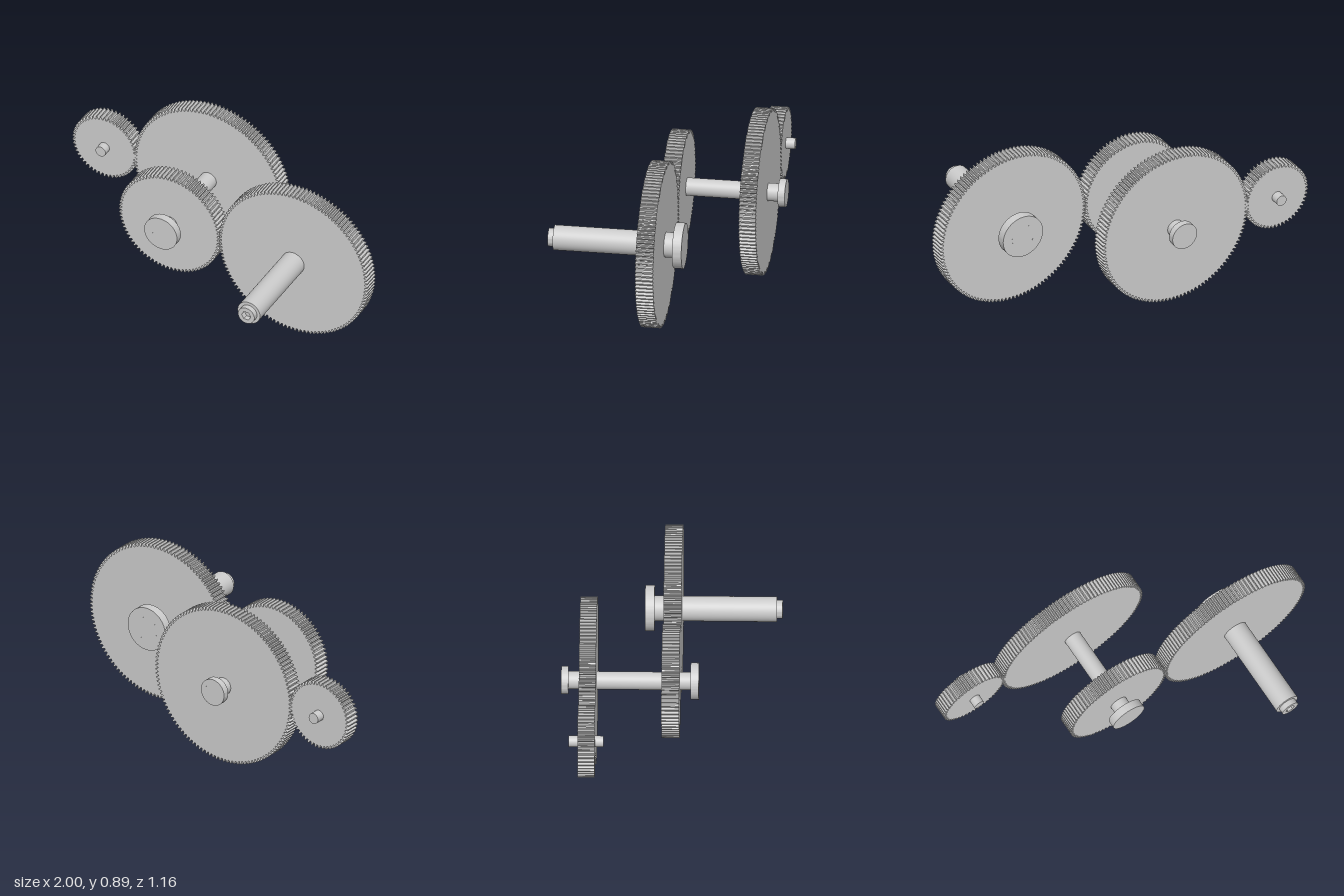
import * as THREE from 'three';
import { toCreasedNormals } from 'three/addons/utils/BufferGeometryUtils.js';

const material = new THREE.MeshStandardMaterial({ color: 0xcccccc });
const AXLE_Y = 0.446;

function addPart(group, name, geometry, z = 0) {
  const mesh = new THREE.Mesh(geometry, material);
  mesh.name = name;
  mesh.position.z = z;
  group.add(mesh);
}

function extrude(shape, depth) {
  return new THREE.ExtrudeGeometry(shape, { depth, bevelEnabled: false, curveSegments: 48 });
}

// Spur gear with trapezoid teeth
function addGear(group, name, radius, teeth, z0, z1, phase = 0) {
  const root = radius - 0.0165;
  const points = [];
  const pitch = (Math.PI * 2) / teeth;
  for (let i = 0; i < teeth; i++) {
    for (const [offset, r] of [[-0.36, root], [-0.13, radius], [0.13, radius], [0.36, root]]) {
      const a = (i + offset + phase) * pitch;
      points.push(new THREE.Vector2(Math.cos(a) * r, Math.sin(a) * r));
    }
  }
  addPart(group, name, extrude(new THREE.Shape(points), z1 - z0), z0);
}

// Round bar along z
function addShaft(group, name, radius, z0, z1) {
  const geometry = new THREE.CylinderGeometry(radius, radius, z1 - z0, 48).rotateX(Math.PI / 2);
  addPart(group, name, geometry, (z0 + z1) / 2);
}

// Collar with a bore; the bore may be round or polygonal
function addRing(group, name, outer, inner, z0, z1, sides = 0) {
  const shape = new THREE.Shape().absarc(0, 0, outer, 0, Math.PI * 2);
  const hole = new THREE.Path();
  if (sides) {
    const corners = Array.from({ length: sides }, (_, i) => {
      const a = (i / sides) * Math.PI * 2;
      return new THREE.Vector2(Math.cos(a) * inner, Math.sin(a) * inner);
    });
    hole.setFromPoints([...corners, corners[0]]);
  } else {
    hole.absarc(0, 0, inner, 0, Math.PI * 2, true);
  }
  shape.holes.push(hole);
  addPart(group, name, toCreasedNormals(extrude(shape, z1 - z0), 0.5), z0);
}

function axle(model, name, x) {
  const group = new THREE.Group();
  group.name = name;
  group.position.set(x, AXLE_Y, 0);
  model.add(group);
  return group;
}

export function createModel() {
  const model = new THREE.Group();
  model.name = 'gearTrain';

  // Small driving pinion
  const input = axle(model, 'inputAxle', -0.807);
  addGear(input, 'pinion', 0.192, 50, -0.48, -0.39, 0.5);
  addShaft(input, 'pinionShaft', 0.03, -0.53, -0.345);

  // Compound axle carrying a large rear gear and a medium front gear
  const middle = axle(model, 'compoundAxle', -0.185);
  addGear(middle, 'largeRearGear', 0.444, 120, -0.48, -0.39);
  addGear(middle, 'mediumFrontGear', 0.302, 80, -0.045, 0.05);
  addShaft(middle, 'compoundShaft', 0.048, -0.579, 0.15);
  addRing(middle, 'rearCollar', 0.075, 0.048, -0.579, -0.541);
  addRing(middle, 'frontCollar', 0.098, 0.048, 0.106, 0.15);

  // Output axle with a long shaft and a socketed tip
  const output = axle(model, 'outputAxle', 0.555);
  addGear(output, 'outputGear', 0.444, 120, -0.045, 0.05, 0.5);
  addShaft(output, 'outputShaft', 0.067, -0.148, 0.55);
  addRing(output, 'outputCollar', 0.122, 0.067, -0.148, -0.098);
  addRing(output, 'socketTip', 0.049, 0.027, 0.55, 0.58, 6);

  return model;
}
